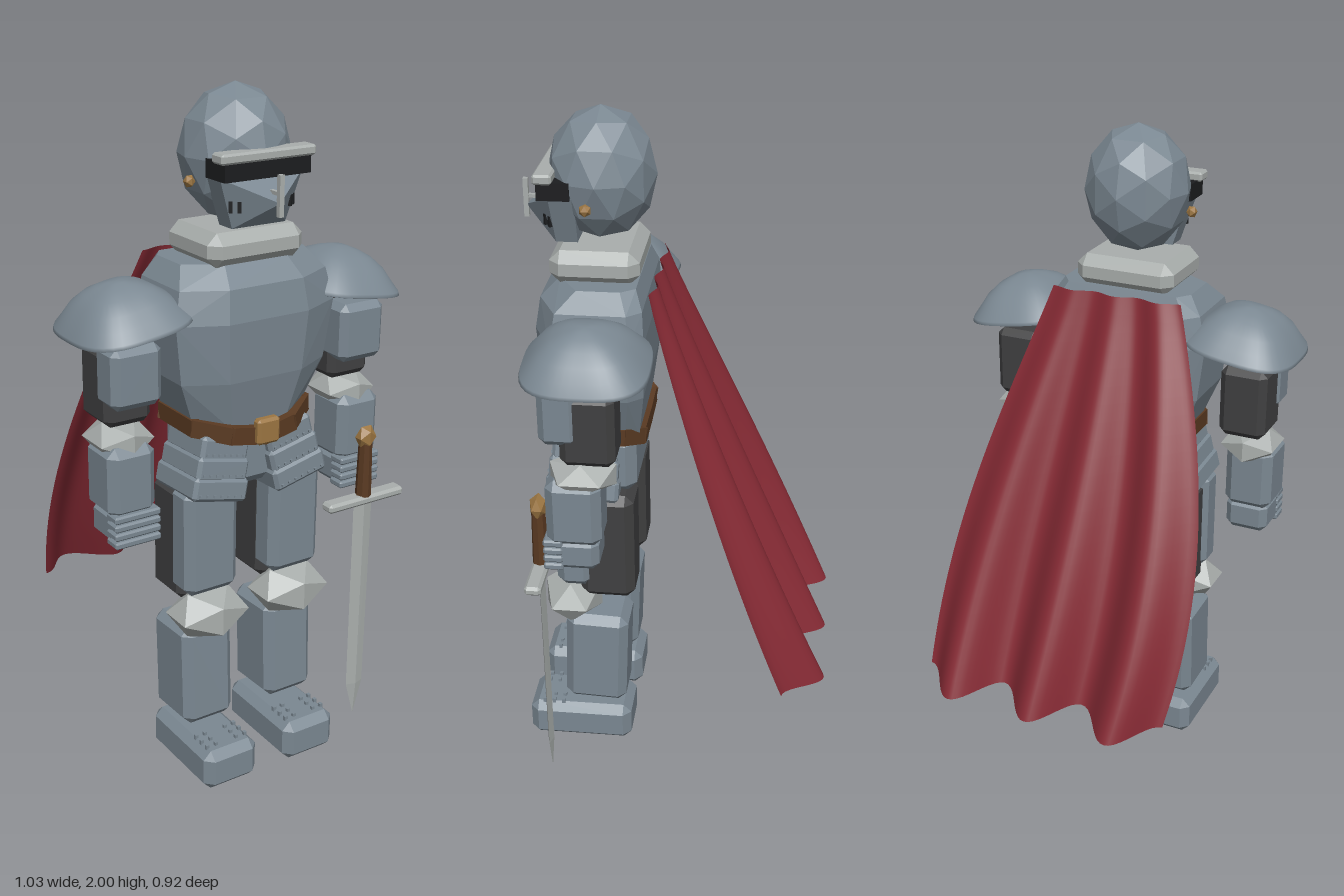
import * as THREE from 'three';
import { mergeVertices } from 'three/addons/utils/BufferGeometryUtils.js';
import { ConvexGeometry } from 'three/addons/geometries/ConvexGeometry.js';

const material = (name, color, side = THREE.FrontSide) => {
  const m = new THREE.MeshStandardMaterial({ color, side });
  m.name = name;
  return m;
};

export function createModel() {
  const steel = material('steel', 0x7b8892);
  const silver = material('pale steel', 0xa9aeac);
  const dark = material('dark cloth', 0x404041);
  const black = material('black', 0x1c1d1f);
  const leather = material('brown leather', 0x5a3a22);
  const gold = material('brass', 0x9c7642);
  const red = material('red cloth', 0x852a34, THREE.DoubleSide);

  const model = new THREE.Group();
  model.name = 'knight';

  const add = (name, geo, mat, pos = [0, 0, 0], parent = model) => {
    const mesh = new THREE.Mesh(geo, mat);
    mesh.name = name;
    mesh.position.set(...pos);
    parent.add(mesh);
    return mesh;
  };
  const hull = (pts) => new ConvexGeometry(pts.map((p) => new THREE.Vector3(...p)));

  // Box with chamfered edges, centred on its origin
  const chamferBox = (w, h, d, c) => {
    const pts = [], [a, b, e] = [w / 2, h / 2, d / 2];
    for (const x of [-1, 1]) for (const y of [-1, 1]) for (const z of [-1, 1]) {
      pts.push([x * a, y * (b - c), z * (e - c)]);
      pts.push([x * (a - c), y * b, z * (e - c)]);
      pts.push([x * (a - c), y * (b - c), z * e]);
    }
    return hull(pts);
  };
  // Chamfered block given by its extents
  const block = (name, mat, [x0, x1], [y0, y1], [z0, z1], c = 0.02) =>
    add(name, chamferBox(Math.abs(x1 - x0), y1 - y0, z1 - z0, c), mat,
      [(x0 + x1) / 2, (y0 + y1) / 2, (z0 + z1) / 2]);
  const gem = (name, mat, pos, [rx, ry, rz], detail = 0) => {
    const geo = new THREE.IcosahedronGeometry(1, detail).scale(rx, ry, rz);
    geo.computeVertexNormals();
    return add(name, geo, mat, pos);
  };

  // Helmet
  gem('helmet', steel, [0, 1.815, 0.22], [0.155, 0.185, 0.152], 1);
  block('browBand', silver, [-0.148, 0.148], [1.818, 1.846], [0.335, 0.388], 0.006);
  add('eyeSlit', new THREE.BoxGeometry(0.27, 0.05, 0.09), black, [0, 1.797, 0.335]);
  const visor = [[0, 1.715, 0.435]];
  for (const s of [-1, 1]) {
    visor.push([s * 0.13, 1.778, 0.35], [s * 0.085, 1.64, 0.34]);
    visor.push([s * 0.13, 1.778, 0.28], [s * 0.085, 1.64, 0.28]);
  }
  add('visor', hull(visor), steel);
  add('visorRidge', new THREE.BoxGeometry(0.014, 0.11, 0.014), silver, [0, 1.735, 0.435]);
  add('visorRidgeMount', new THREE.BoxGeometry(0.012, 0.01, 0.06), silver, [0, 1.74, 0.4]);

  // Gorget
  block('gorget', silver, [-0.152, 0.152], [1.535, 1.63], [0.105, 0.355], 0.03);

  // Breastplate from stacked cross-sections: height, half width, back, front
  const chest = [];
  for (const [y, w, b, f] of [[1.08, 0.175, 0.11, 0.36], [1.23, 0.235, 0.09, 0.39],
    [1.4, 0.257, 0.085, 0.4], [1.49, 0.237, 0.09, 0.385], [1.545, 0.2, 0.11, 0.33]]) {
    for (const s of [-1, 1]) {
      chest.push([s * w * 0.85, y, b], [s * w, y, b + 0.04]);
      chest.push([s * w, y, f - 0.06], [s * w * 0.5, y, f]);
    }
  }
  add('breastplate', hull(chest), steel);

  // Belt, dipping towards the buckle
  const beltPath = [[0, 1.06, 0.385], [0.1, 1.075, 0.375], [0.185, 1.095, 0.315],
    [0.185, 1.095, 0.15], [0.13, 1.075, 0.105], [0, 1.07, 0.105]];
  for (const s of [-1, 1]) {
    for (let i = 0; i + 1 < beltPath.length; i++) {
      const a = new THREE.Vector3(...beltPath[i]), b = new THREE.Vector3(...beltPath[i + 1]);
      a.x *= s; b.x *= s;
      const strap = add('belt', new THREE.BoxGeometry(0.025, 0.05, a.distanceTo(b) + 0.012), leather);
      strap.position.lerpVectors(a, b, 0.5);
      strap.lookAt(b);
    }
  }
  block('buckle', gold, [-0.037, 0.037], [1.04, 1.115], [0.38, 0.412], 0.008);
  block('pelvis', steel, [-0.17, 0.17], [0.89, 1.08], [0.12, 0.34], 0.03);

  // Domed pauldron: lathe profile pushed out to a rounded square
  const profile = [[0, 0.1], [0.4, 0.083], [0.75, 0.035], [0.97, -0.01], [1, -0.008], [0.98, 0.002],
    [0.85, 0.028], [0.7, 0.06], [0.5, 0.086], [0.3, 0.101], [0.12, 0.109], [0, 0.11]];
  const pauldron = new THREE.LatheGeometry(profile.map((p) => new THREE.Vector2(...p)), 48);
  const pp = pauldron.attributes.position;
  for (let i = 0; i < pp.count; i++) {
    const x = pp.getX(i), z = pp.getZ(i), r = Math.hypot(x, z);
    if (r < 1e-6) continue; // the apex stays on the axis
    const k = Math.pow(Math.abs(x / r) ** 3 + Math.abs(z / r) ** 3, -1 / 3);
    pp.setX(i, x * k * 0.168);
    pp.setZ(i, z * k * 0.175);
  }
  pauldron.deleteAttribute('normal');
  pauldron.deleteAttribute('uv');
  const dome = mergeVertices(pauldron, 1e-5);
  dome.computeVertexNormals();

  for (const s of [-1, 1]) {
    const xs = (a, b) => [s * a, s * b];

    // Helmet and shoulder rivets, breathing slits
    gem('helmetRivet', gold, [s * 0.157, 1.757, 0.245], [0.016, 0.018, 0.018]);
    gem('shoulderRivet', gold, [s * 0.197, 1.522, 0.266], [0.014, 0.014, 0.014]);
    for (const [x, z] of [[0.08, 0.367], [0.098, 0.352]]) {
      add('breathSlit', new THREE.BoxGeometry(0.01, 0.03, 0.009), black, [s * x, 1.702, z]).rotation.y = s * 0.68;
    }

    // Arm
    add('pauldron', dome, steel, [s * 0.35, 1.405, 0.22]).rotation.z = -s * 0.15;
    block('upperArmSleeve', dark, xs(0.298, 0.44), [1.13, 1.345], [0.138, 0.29]);
    block('upperArmPlate', steel, xs(0.295, 0.447), [1.195, 1.367], [0.235, 0.345]);
    gem('elbowGuard', silver, [s * 0.378, 1.085, 0.235], [0.095, 0.058, 0.108]);
    block('forearm', steel, xs(0.31, 0.455), [0.88, 1.085], [0.18, 0.335], 0.025);
    block('hand', steel, xs(0.315, 0.445), [0.8, 0.9], [0.19, 0.325]);
    for (let i = 0; i < 4; i++) {
      const y = 0.803 + i * 0.025;
      block('finger', steel, xs(0.308, 0.45), [y, y + 0.021], [0.29, 0.345], 0.005);
    }

    // Tasset of three lapped plates with studs
    const tasset = new THREE.Group();
    tasset.name = 'tasset';
    tasset.position.set(s * 0.122, 0.965, 0.27);
    tasset.rotation.set(-0.06, 0, s * 0.22);
    model.add(tasset);
    for (let i = 0; i < 3; i++) {
      const y = 0.06 - i * 0.057, w = 0.155 + i * 0.012;
      add('tassetPlate', chamferBox(w, 0.068, 0.19 + i * 0.012, 0.01), steel, [0, y, 0], tasset);
      for (let j = 0; j < 7; j++) {
        add('tassetStud', new THREE.BoxGeometry(0.007, 0.007, 0.008), steel,
          [(j - 3) * w * 0.13, y - 0.016, 0.096 + i * 0.006], tasset);
      }
    }

    // Leg
    block('thighCloth', dark, xs(0.06, 0.215), [0.545, 0.9], [0.125, 0.29], 0.025);
    block('thighPlate', steel, xs(0.055, 0.23), [0.59, 0.92], [0.25, 0.358], 0.025);
    gem('kneeGuard', silver, [s * 0.142, 0.52, 0.32], [0.128, 0.08, 0.1]);
    block('shin', steel, xs(0.06, 0.227), [0.157, 0.475], [0.152, 0.343], 0.025).rotation.x = -0.04;
    block('foot', steel, xs(0.05, 0.23), [0.003, 0.13], [0.143, 0.465], 0.025);
    for (const z of [0.36, 0.39, 0.42]) {
      for (const x of [0.075, 0.105, 0.175, 0.205]) {
        add('footStud', new THREE.BoxGeometry(0.01, 0.016, 0.01), steel, [s * x, 0.132, z]);
      }
    }
  }

  // Sword, point down at the left hand
  const sword = new THREE.Group();
  sword.name = 'sword';
  sword.position.set(0.376, 0, 0.368);
  model.add(sword);
  const blade = [[0, 0.018, 0]];
  for (const [y, w] of [[0.77, 0.034], [0.13, 0.031]]) {
    blade.push([-w, y, 0], [w, y, 0], [0, y, 0.009], [0, y, -0.009]);
  }
  add('blade', hull(blade), silver, [0, 0, 0], sword);
  add('crossguard', chamferBox(0.276, 0.028, 0.048, 0.008), silver, [0, 0.768, 0], sword);
  const grip = new THREE.CylinderGeometry(0.02, 0.024, 0.18, 8).toNonIndexed();
  grip.computeVertexNormals();
  add('grip', grip, leather, [0, 0.868, 0], sword);
  add('pommel', new THREE.IcosahedronGeometry(1).scale(0.034, 0.04, 0.026), gold, [0, 0.965, 0], sword);

  // Cape: a sheet that widens and folds more deeply towards the hem
  const cape = new THREE.PlaneGeometry(1, 1, 60, 24);
  const cp = cape.attributes.position;
  for (let i = 0; i < cp.count; i++) {
    const u = cp.getX(i) + 0.5, t = 0.5 - cp.getY(i);
    const half = 0.2 + 0.2 * Math.sin(t * 1.885);
    const fold = (1 - Math.cos(u * Math.PI * 6)) / 2;
    cp.setXYZ(i,
      0.05 * t * t + (u * 2 - 1) * half,
      1.54 - 1.14 * t - 0.02 * t * fold,
      0.072 - 0.405 * Math.pow(Math.max(t, 0), 1.08) - (0.018 + 0.105 * t) * fold);
  }
  cape.computeVertexNormals();
  add('cape', cape, red);

  return model;
}
